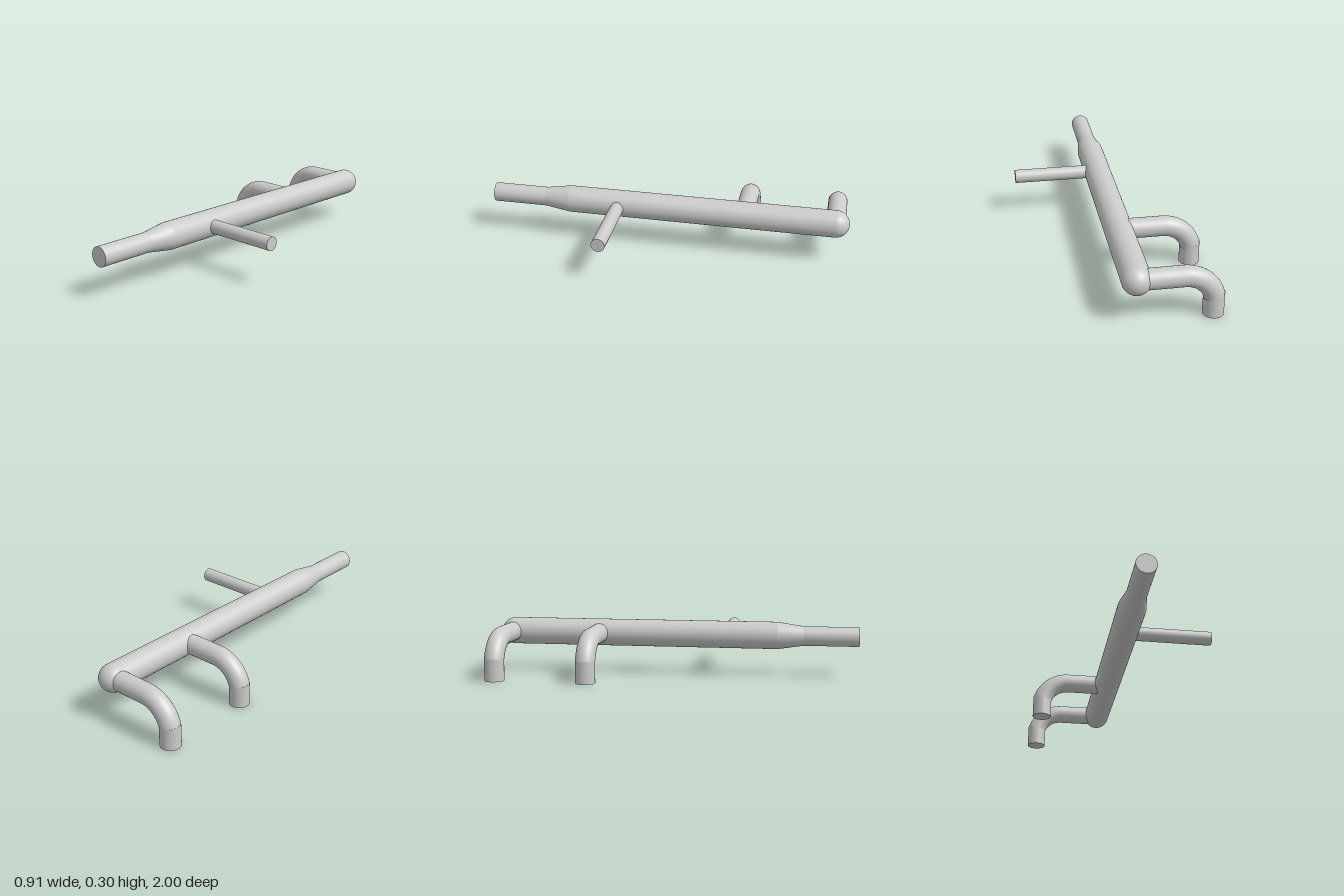
import * as THREE from 'three';

const SEG = 48;
const X = -0.021, Y = 0.222;           // axis of the main pipe
const R_MAIN = 0.0745, R_BRANCH = 0.053, R_ROD = 0.0375;
const BEND = 0.155, BEND_X = -0.253;   // elbow radius and centre
const SWEEP = THREE.MathUtils.degToRad(75);

export function createModel() {
  const model = new THREE.Group();
  const material = new THREE.MeshStandardMaterial({ color: 0xcccccc });

  function add(parent, name, geometry, x, y, z) {
    const mesh = new THREE.Mesh(geometry, material);
    mesh.name = name;
    mesh.position.set(x, y, z);
    parent.add(mesh);
  }

  // Pipe along z, from z0 (radius r0) to z1 (radius r1)
  function pipeZ(name, z0, z1, r0, r1, open) {
    const g = new THREE.CylinderGeometry(r1, r0, z1 - z0, SEG, 1, open).rotateX(Math.PI / 2);
    add(model, name, g, X, Y, (z0 + z1) / 2);
  }

  // Pipe along x, from x0 to x1
  function pipeX(parent, name, x0, x1, r, z) {
    const g = new THREE.CylinderGeometry(r, r, x1 - x0, SEG).rotateZ(-Math.PI / 2);
    add(parent, name, g, (x0 + x1) / 2, Y, z);
  }

  // Main pipe: barrel with rounded back end, taper and narrow front end
  pipeZ('mainPipe', -0.9255, 0.56, R_MAIN, R_MAIN, true);
  pipeZ('taper', 0.56, 0.70, R_MAIN, R_BRANCH, true);
  pipeZ('frontPipe', 0.70, 1, R_BRANCH, R_BRANCH, false);
  const dome = new THREE.SphereGeometry(R_MAIN, SEG, 16, 0, Math.PI * 2, 0, Math.PI / 2).rotateX(-Math.PI / 2);
  add(model, 'backDome', dome, X, Y, -0.9255);

  // Thin straight rod on the left side
  pipeX(model, 'sideRod', X, 0.455, R_ROD, 0.277);

  // Two bent branches with downward legs on the right side
  [['middleBranch', -0.428], ['backBranch', -0.9255]].forEach(([name, z]) => {
    const branch = new THREE.Group();
    branch.name = name;
    model.add(branch);
    pipeX(branch, 'branchPipe', BEND_X, X, R_BRANCH, z);

    const elbow = new THREE.TorusGeometry(BEND, R_BRANCH, SEG, 32, SWEEP).rotateZ(Math.PI / 2);
    add(branch, 'elbow', elbow, BEND_X, Y - BEND, z);

    // The leg's top is slanted to meet the end of the elbow
    const tilt = Math.PI / 2 - SWEEP;
    const top = Y - BEND + BEND * Math.sin(tilt);
    const leg = new THREE.CylinderGeometry(R_BRANCH, R_BRANCH, top, SEG);
    const p = leg.attributes.position;
    for (let i = 0; i < p.count; i++) {
      if (p.getY(i) > 0) p.setY(i, p.getY(i) - p.getX(i) * Math.tan(tilt));
    }
    add(branch, 'leg', leg, BEND_X - BEND * Math.cos(tilt), top / 2, z);
  });

  return model;
}
